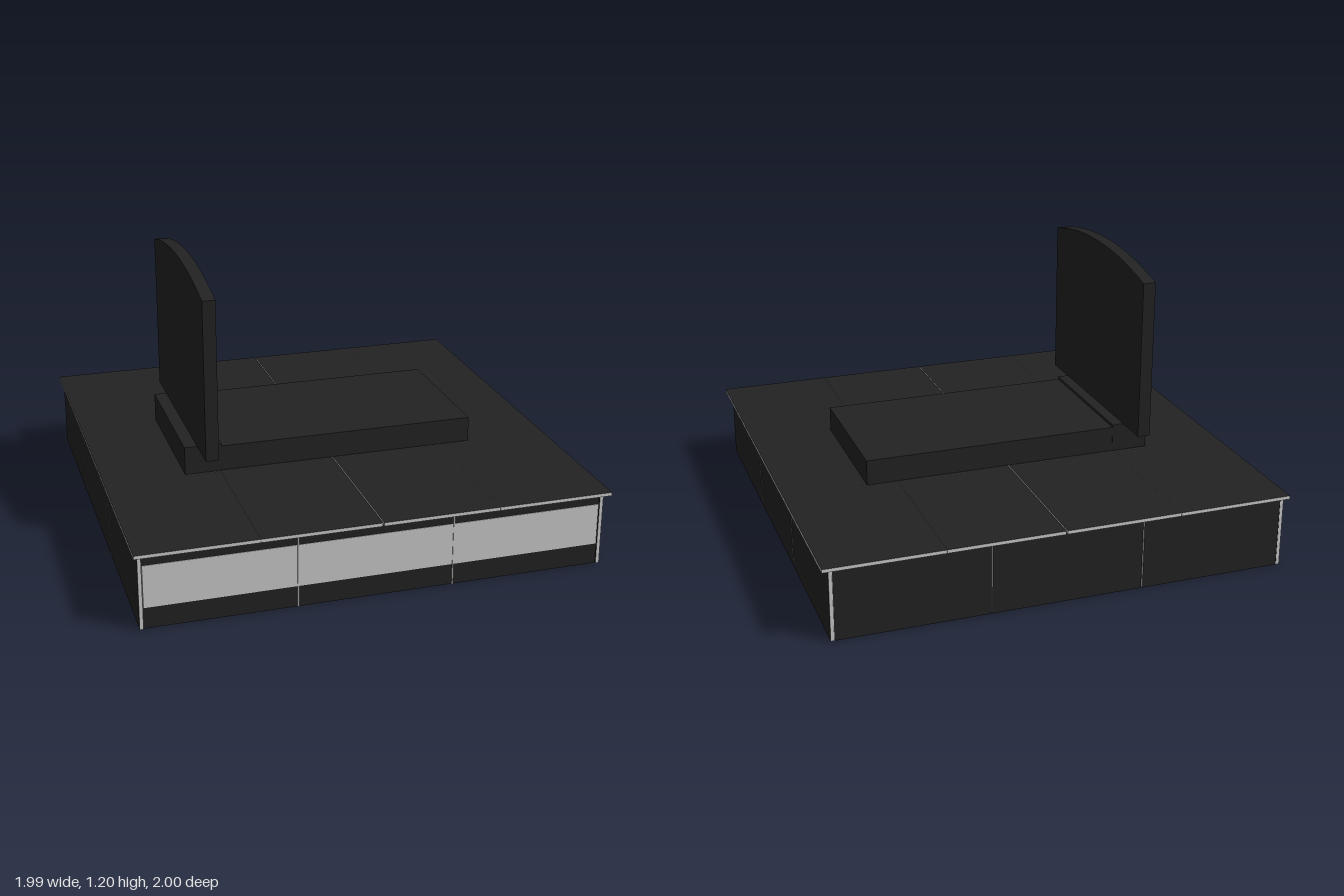
import * as THREE from 'three';

const granite = new THREE.MeshStandardMaterial({ color: 0x222222 });
granite.name = 'black granite';
const concrete = new THREE.MeshStandardMaterial({ color: 0xc9c9c9 });
concrete.name = 'light concrete';

// Box given by its min and max corners; material may be an array per face
function block(parent, name, [x0, x1], [y0, y1], [z0, z1], material = granite) {
  const mesh = new THREE.Mesh(new THREE.BoxGeometry(x1 - x0, y1 - y0, z1 - z0), material);
  mesh.position.set((x0 + x1) / 2, (y0 + y1) / 2, (z0 + z1) / 2);
  mesh.name = name;
  parent.add(mesh);
  return mesh;
}

// Polished tile: granite on the two large faces, raw pale edges elsewhere
const tileMaterials = (axis) =>
  [0, 0, 1, 1, 2, 2].map((a) => (a === axis ? granite : concrete));

// Splits a range at the seams, leaving a gap at each
function spans(min, max, seams, gap) {
  const cuts = [min, ...seams, max];
  return cuts.slice(1).map((end, i) => [
    cuts[i] + (i > 0 ? gap / 2 : 0),
    end - (i < cuts.length - 2 ? gap / 2 : 0),
  ]);
}

export function createModel() {
  const model = new THREE.Group();
  model.name = 'tiledMonument';

  // Concrete core, open to the front between the granite strips
  block(model, 'concreteCore', [-0.962, 0.942], [0.09, 0.27], [-0.955, 0.982], concrete);

  // Paving tiles on top
  const paving = new THREE.Group();
  paving.name = 'paving';
  model.add(paving);
  for (const z of spans(-1, 1, [-0.333, 0.333], 0.001)) {
    for (const half of [[-0.995, -0.003], [0.003, 0.99]]) {
      for (const x of spans(half[0], half[1], [(half[0] + half[1]) / 2], 0.001)) {
        block(paving, 'pavingTile', x, [0.31, 0.325], z, tileMaterials(1));
      }
    }
  }

  // Side walls
  const walls = new THREE.Group();
  walls.name = 'walls';
  model.add(walls);
  for (const x of [[-0.98, -0.965], [0.945, 0.96]]) {
    for (const z of spans(-0.975, 0.985, [-0.32, 0.333], 0.006)) {
      block(walls, 'sideTile', x, [0, 0.31], z, tileMaterials(0));
    }
  }

  // Back wall, and front wall strips above and below the exposed core
  for (const x of spans(-0.964, 0.944, [-0.345, 0.305], 0.006)) {
    block(walls, 'backTile', x, [0, 0.31], [-0.975, -0.96], tileMaterials(2));
    block(walls, 'frontLowerTile', x, [0, 0.09], [0.965, 0.98], tileMaterials(2));
    block(walls, 'frontUpperTile', x, [0.27, 0.31], [0.965, 0.98], tileMaterials(2));
  }
  for (const x of [-0.345, 0.305]) {
    block(walls, 'frontJoint', [x - 0.003, x + 0.003], [0, 0.31], [0.965, 0.985], concrete);
  }

  // Ledger slab and the plinth under the headstone
  block(model, 'ledgerSlab', [-0.49, 0.63], [0.325, 0.435], [-0.32, 0.322]);
  block(model, 'headstonePlinth', [-0.65, -0.49], [0.325, 0.447], [-0.322, 0.325]);

  // Headstone with a shallow arched top
  const half = 0.4825, rise = 0.06, shoulder = 1.135;
  const radius = (half * half + rise * rise) / (2 * rise);
  const sweep = Math.asin(half / radius);
  const outline = new THREE.Shape();
  outline.moveTo(-half, 0.445);
  outline.lineTo(half, 0.445);
  outline.lineTo(half, shoulder);
  outline.absarc(0, shoulder + rise - radius, radius, Math.PI / 2 - sweep, Math.PI / 2 + sweep, false);
  outline.closePath();
  const stone = new THREE.Mesh(
    new THREE.ExtrudeGeometry(outline, { depth: 0.055, bevelEnabled: false, curveSegments: 24 }),
    granite
  );
  stone.rotation.y = Math.PI / 2;
  stone.position.set(-0.595, 0, 0.006);
  stone.name = 'headstone';
  model.add(stone);

  return model;
}
